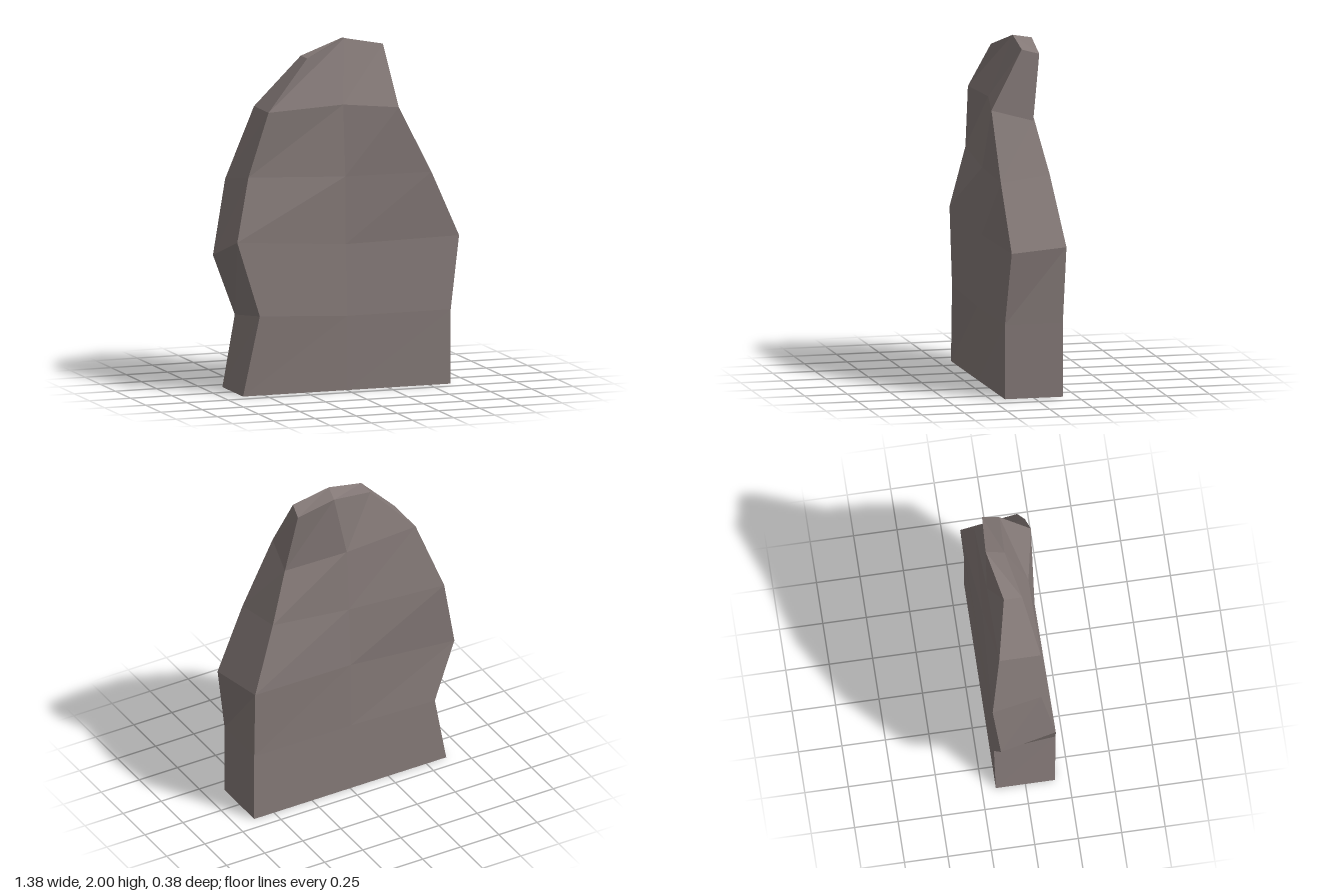
import * as THREE from 'three';

// Rings of the slab from the ground up. Each ring runs
// front right, front middle, front left, back left, back middle, back right.
const RINGS = [
  [[-0.63, 0, 0.17], [0, 0, 0.17], [0.63, 0, 0.17], [0.63, 0, -0.17], [0, 0, -0.17], [-0.63, 0, -0.17]],
  [[-0.535, 0.46, 0.188], [0, 0.43, 0.175], [0.63, 0.43, 0.17], [0.63, 0.43, -0.17], [0, 0.43, -0.17], [-0.555, 0.415, -0.17]],
  [[-0.665, 0.89, 0.17], [0, 0.84, 0.15], [0.69, 0.85, 0.145], [0.635, 0.865, -0.19], [0, 0.85, -0.175], [-0.695, 0.77, -0.15]],
  [[-0.572, 1.25, 0.1], [0, 1.23, 0.145], [0.515, 1.23, 0.165], [0.485, 1.26, -0.13], [0, 1.22, -0.155], [-0.608, 1.2, -0.185]],
  [[-0.455, 1.62, 0.115], [0, 1.64, 0.11], [0.315, 1.615, 0.17], [0.367, 1.555, -0.062], [0, 1.6, -0.13], [-0.455, 1.62, -0.125]],
  [[-0.195, 1.907, 0.045], [0.055, 2, -0.02], [0.287, 1.955, -0.015], [0.31, 1.93, -0.112], [0.08, 1.985, -0.125], [-0.195, 1.907, -0.06]],
];

// Skins the rings with quads and closes both ends
function loftRings(rings) {
  const n = rings[0].length, index = [];
  const quad = (a, b, c, d) => index.push(a, b, c, a, c, d);
  for (let r = 0; r < rings.length - 1; r++) {
    for (let i = 0; i < n; i++) {
      const j = (i + 1) % n;
      quad(r * n + i, r * n + j, (r + 1) * n + j, (r + 1) * n + i);
    }
  }
  const top = (rings.length - 1) * n;
  for (const i of [0, 1]) {
    const [a, b, c, d] = [i, i + 1, 4 - i, 5 - i];
    quad(top + a, top + b, top + c, top + d);
    quad(d, c, b, a);
  }
  const geometry = new THREE.BufferGeometry();
  geometry.setAttribute('position', new THREE.Float32BufferAttribute(rings.flat(2), 3));
  geometry.setIndex(index);
  const faceted = geometry.toNonIndexed();
  faceted.computeVertexNormals();
  return faceted;
}

export function createModel() {
  const group = new THREE.Group();
  group.name = 'standingStone';

  // Rough upright slab of rock
  const rock = new THREE.MeshStandardMaterial({ color: 0x857a78, flatShading: true });
  const slab = new THREE.Mesh(loftRings(RINGS), rock);
  slab.name = 'stoneSlab';
  group.add(slab);
  return group;
}
